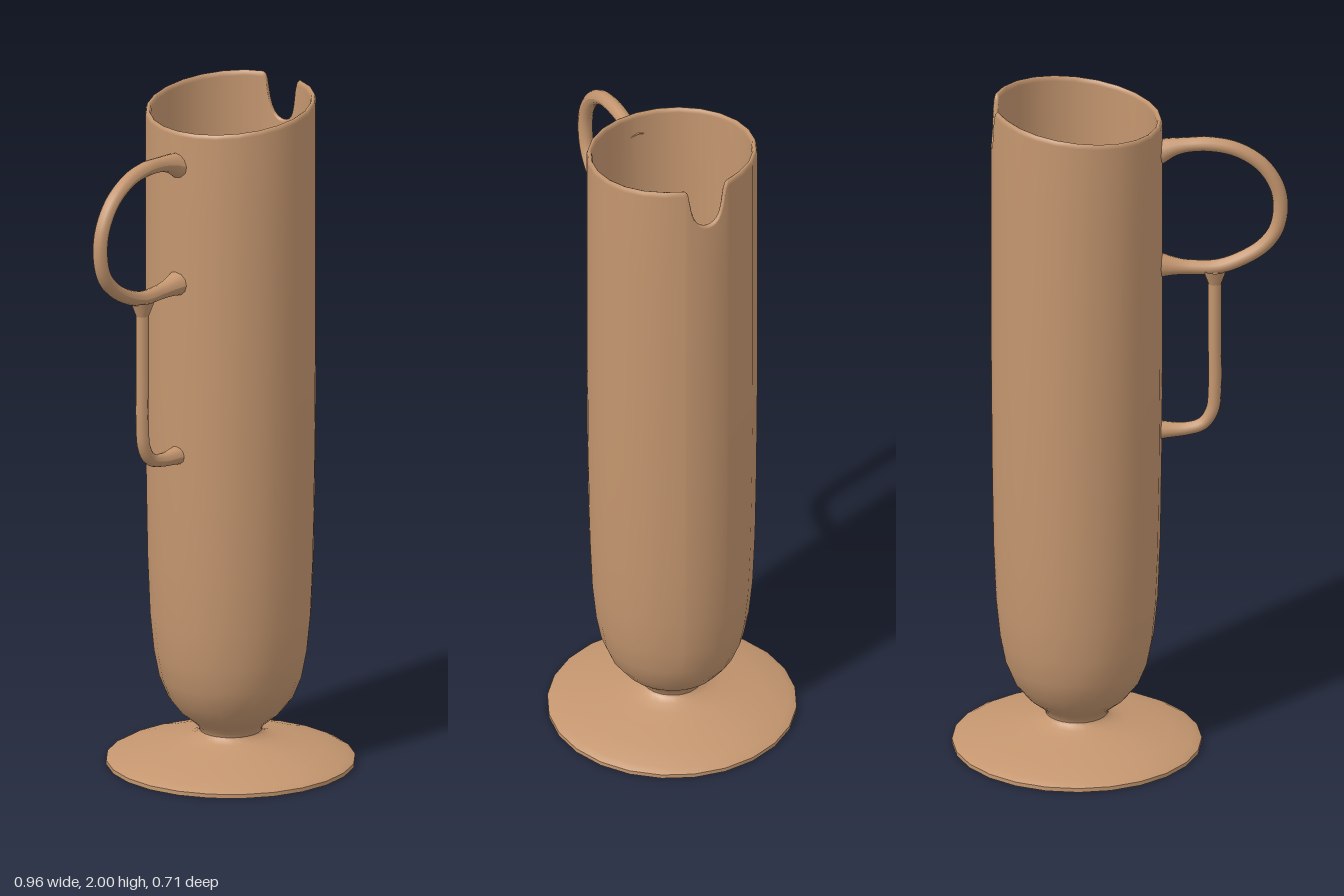
import * as THREE from 'three';

const AXIS = 0.122; // the vessel stands off-centre to balance the handle
const clay = new THREE.MeshStandardMaterial({ color: 0xc4966f });
clay.name = 'clay';

function part(name, geometry) {
  const mesh = new THREE.Mesh(geometry, clay);
  mesh.name = name;
  return mesh;
}

// Half outline of the pouring notch: [distance from its centre, height]
const notch = [[0, 1.865], [0.012, 1.867], [0.024, 1.873], [0.034, 1.883], [0.043, 1.9],
  [0.05, 1.925], [0.055, 1.955], [0.059, 1.98], [0.063, 1.992], [0.07, 1.998]];

// Columns round the wall, closely spaced at the notch, with a sloping rim elsewhere
function rimColumns() {
  const half = notch.map(([z, top]) => ({ angle: Math.asin(z / 0.245), top }));
  const columns = [...half];
  for (let k = 2; k <= 22; k++) {
    const angle = k * Math.PI / 12;
    columns.push({ angle, top: 1.973 + 0.028 * Math.cos(angle) });
  }
  for (const c of half.slice(1).reverse()) columns.push({ angle: 2 * Math.PI - c.angle, top: c.top });
  return columns;
}

// Double-walled cup: up the outside, over the rim, down the inside
function cupGeometry() {
  const profile = [[0.088, 0.095], [0.092, 0.108], [0.108, 0.125], [0.145, 0.155], [0.18, 0.2],
    [0.205, 0.262], [0.22, 0.34], [0.231, 0.45], [0.238, 0.62], [0.242, 0.85], [0.245, 1.2],
    [0.245, 1.7], [0.245, 1.985], [0.242, 1.997], [0.237, 2], [0.232, 1.997], [0.229, 1.985],
    [0.229, 1.7], [0.229, 1.2], [0.226, 0.85], [0.222, 0.62], [0.215, 0.45], [0.204, 0.34],
    [0.188, 0.262], [0.16, 0.205], [0.12, 0.165], [0.06, 0.14], [0, 0.133]];
  const columns = rimColumns();
  const rows = profile.length, n = columns.length;
  const positions = [], index = [];
  for (const { angle, top } of columns) {
    for (const [r, y] of profile) {
      const h = y > 1.7 ? 1.7 + (y - 1.7) / 0.3 * (top - 1.7) : y;
      positions.push(AXIS + r * Math.cos(angle), h, r * Math.sin(angle));
    }
  }
  for (let i = 0; i < n; i++) {
    for (let j = 0; j < rows - 1; j++) {
      const a = i * rows + j, c = ((i + 1) % n) * rows + j;
      index.push(a, a + 1, c, c, a + 1, c + 1);
    }
  }
  const geometry = new THREE.BufferGeometry();
  geometry.setAttribute('position', new THREE.Float32BufferAttribute(positions, 3));
  geometry.setIndex(index);
  geometry.computeVertexNormals();
  return geometry;
}

function lathe(points) {
  const geometry = new THREE.LatheGeometry(points.map(([x, y]) => new THREE.Vector2(x, y)), 24);
  return geometry.translate(AXIS, 0, 0);
}

// Round bar that widens where it joins the wall
function flaredBar(points, radius, flare, segments) {
  const curve = new THREE.CatmullRomCurve3(points.map(([x, y]) => new THREE.Vector3(x, y, 0)), false, 'centripetal');
  const sides = 12;
  const geometry = new THREE.TubeGeometry(curve, segments, radius, sides);
  const p = geometry.attributes.position, v = new THREE.Vector3();
  for (let i = 0; i <= segments; i++) {
    const centre = curve.getPointAt(i / segments);
    const t = THREE.MathUtils.clamp((centre.x + 0.21) / 0.1, 0, 1);
    const s = 1 + flare * t * t;
    for (let j = 0; j <= sides; j++) {
      const k = i * (sides + 1) + j;
      v.fromBufferAttribute(p, k).sub(centre).multiplyScalar(s).add(centre);
      p.setXYZ(k, v.x, v.y, v.z);
    }
  }
  geometry.computeVertexNormals();
  return geometry;
}

export function createModel() {
  const group = new THREE.Group();
  group.name = 'footedJug';

  group.add(part('cup', cupGeometry()));

  // Spreading foot with a flat underside
  group.add(part('foot', lathe([[0.357, 0.012], [0.335, 0.024], [0.27, 0.042], [0.2, 0.057],
    [0.14, 0.069], [0.108, 0.08], [0.092, 0.09], [0.088, 0.098]])));
  group.add(part('footEdge', lathe([[0.357, 0], [0.357, 0.012]])));
  group.add(part('footBase', lathe([[0, 0], [0.357, 0]])));

  // Upper ring of the handle
  group.add(part('handleLoop', flaredBar([[-0.113, 1.843], [-0.15, 1.856], [-0.2, 1.864], [-0.26, 1.865],
    [-0.335, 1.848], [-0.405, 1.802], [-0.448, 1.735], [-0.46, 1.67], [-0.448, 1.6], [-0.412, 1.549],
    [-0.35, 1.508], [-0.28, 1.483], [-0.2, 1.482], [-0.113, 1.489]], 0.0215, 0.8, 96)));

  // Lower straight grip curving back to the wall
  group.add(part('handleGrip', flaredBar([[-0.272, 1.475], [-0.272, 1.4], [-0.272, 1.25], [-0.272, 1.1],
    [-0.265, 1.035], [-0.238, 0.993], [-0.19, 0.977], [-0.113, 0.974]], 0.019, 0.5, 60)));

  // Small fillet where the grip meets the ring
  const collar = new THREE.CylinderGeometry(0.036, 0.019, 0.045, 12, 1, true);
  collar.translate(-0.272, 1.452, 0).scale(1, 1, 0.98);
  group.add(part('gripCollar', collar));

  return group;
}
